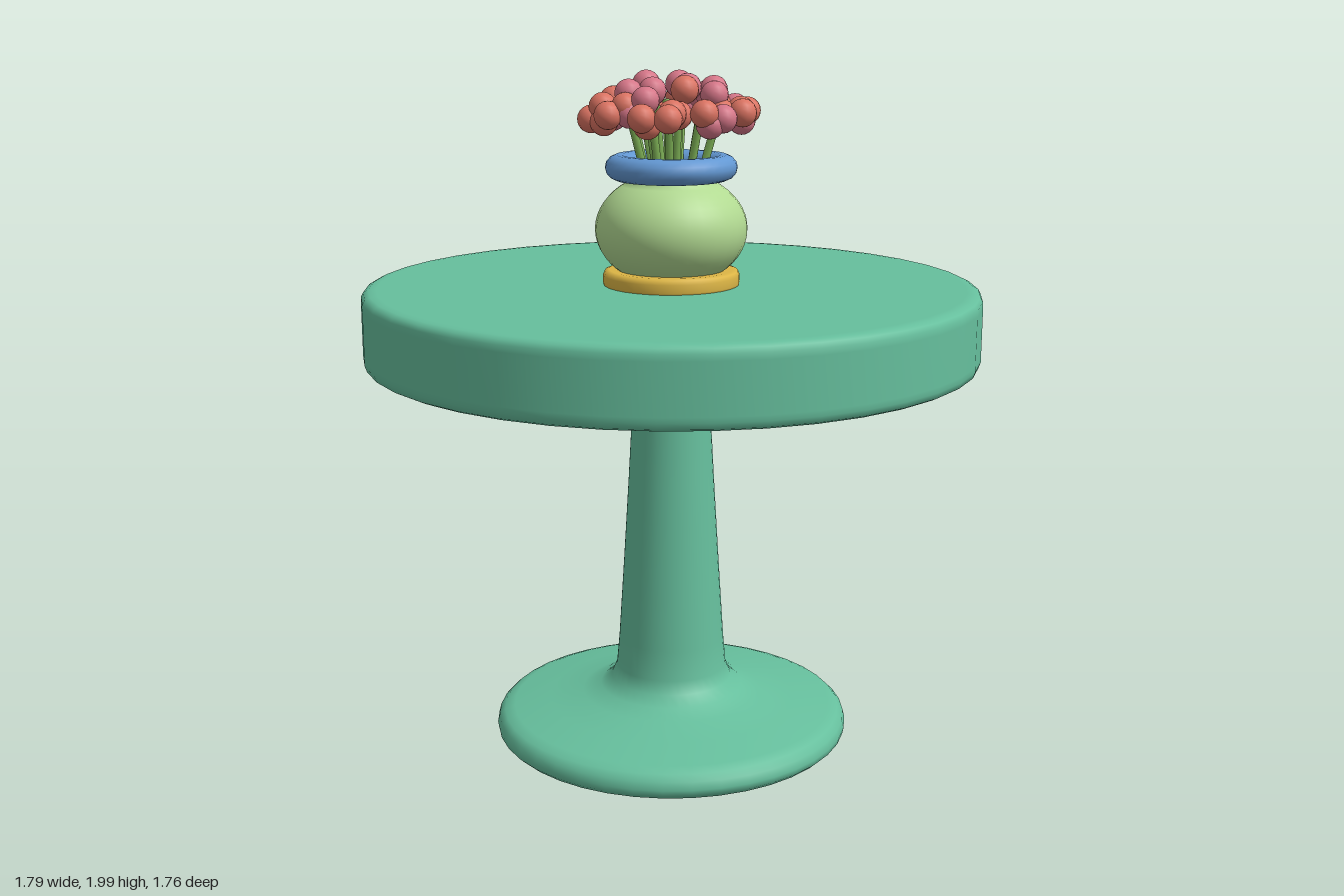
import * as THREE from 'three';

const mat = (name, color, side = THREE.FrontSide) => {
  const m = new THREE.MeshStandardMaterial({ color, side });
  m.name = name;
  return m;
};

export function createModel() {
  const model = new THREE.Group();
  model.name = 'tableWithVase';
  const green = mat('table green', 0x66bf9d);
  const lime = mat('vase lime', 0xb2da92, THREE.DoubleSide);
  const gold = mat('foot gold', 0xdcb545);
  const blue = mat('rim blue', 0x6398d3);
  const stemGreen = mat('stem green', 0x7fb257);
  const coral = mat('flower coral', 0xdb7362);
  const pink = mat('flower pink', 0xd67688);

  const add = (name, geometry, material, parent = model) => {
    const mesh = new THREE.Mesh(geometry, material);
    mesh.name = name;
    parent.add(mesh);
    return mesh;
  };
  const lathe = (pts, sides) =>
    new THREE.LatheGeometry(pts.map(([r, y]) => new THREE.Vector2(r, y)), sides);

  // Round table top with softened edges, a touch narrower in depth
  add('tableTop', lathe([[0, 1.16], [0.85, 1.16], [0.875, 1.161], [0.889, 1.168], [0.895, 1.185],
    [0.895, 1.2], [0.895, 1.34], [0.894, 1.358], [0.887, 1.371], [0.873, 1.378],
    [0.85, 1.38], [0, 1.38]], 40), green).scale.z = 0.985;

  // Tapered column flaring into the round base
  add('pedestal', lathe([[0, 0], [0.49, 0], [0.515, 0.004], [0.53, 0.018], [0.533, 0.035],
    [0.527, 0.058], [0.51, 0.075], [0.48, 0.086], [0.37, 0.105], [0.27, 0.125], [0.215, 0.145],
    [0.182, 0.172], [0.166, 0.21], [0.158, 0.3], [0.142, 0.55], [0.127, 0.8],
    [0.115, 1.02], [0.112, 1.17]], 40), green);

  // Vase: foot, open round body and flattened rim
  add('vaseFoot', lathe([[0, 1.375], [0.195, 1.375], [0.198, 1.385], [0.198, 1.408],
    [0.193, 1.42], [0.18, 1.424], [0, 1.424]], 32), gold);
  const body = [[0, 1.41]];
  for (let i = 0; i <= 16; i++) {
    const a = -0.98 + (i / 16) * 1.96;
    body.push([0.22 * Math.cos(a), 1.54 + 0.165 * Math.sin(a)]);
  }
  body.push([0.12, 1.7]);
  add('vaseBody', lathe(body, 32), lime);
  const rim = add('vaseRim', new THREE.TorusGeometry(0.15, 0.04, 14, 36), blue);
  rim.rotation.x = Math.PI / 2;
  rim.scale.z = 0.92;
  rim.position.y = 1.717;

  // Flower balls as [x, z] in hundredths, forming a dome
  const coralSpots = [[0, -21], [-14, -18], [-21, -10], [-11, -9], [-4, -17], [9, -20], [18, -14],
    [13, -18], [19, -5], [22, 2], [-16, 4], [-20, 11], [-16, 12], [-12, 18], [-8, 15], [0, 23],
    [7, 21], [7, 18], [7, 8], [15, 14]];
  const pinkSpots = [[14, 3], [6, 3], [-3, 7], [-9, 10], [-2, 15], [3, -5], [-1, -9], [7, -12],
    [15, -12], [11, -5], [3, -16], [19, 10], [-8, -1]];
  const flowers = new THREE.Group();
  flowers.name = 'flowers';
  model.add(flowers);
  const ball = new THREE.SphereGeometry(0.04, 14, 10);
  const plant = (spots, material) => spots.forEach(([px, pz], i) => {
    const x = px / 100, z = pz / 100;
    const y = 1.96 - 1.7 * (x * x + z * z) - (i % 3) * 0.008;
    add('flowerBall', ball, material, flowers).position.set(x, y, z);
  });
  plant(coralSpots, coral);
  plant(pinkSpots, pink);

  // Lower skirt of balls under the dome
  for (let i = 0; i < 14; i++) {
    const a = (i / 14) * Math.PI * 2 + 0.2, r = i % 2 ? 0.2 : 0.165;
    add('lowerFlowerBall', ball, i % 3 === 1 ? pink : coral, flowers)
      .position.set(r * Math.cos(a), i % 2 ? 1.85 : 1.875, r * Math.sin(a));
  }

  // Stems fanning out of the vase
  const stems = new THREE.Group();
  stems.name = 'stems';
  model.add(stems);
  for (let i = 0; i < 16; i++) {
    const a = i * 2.4, r = 0.16 * Math.sqrt((i + 0.5) / 16);
    const at = (k, y) => new THREE.Vector3(r * k * Math.cos(a), y, r * k * Math.sin(a));
    const curve = new THREE.QuadraticBezierCurve3(at(0.3, 1.45), at(0.55, 1.72), at(1, 1.9));
    add('stem', new THREE.TubeGeometry(curve, 6, 0.012, 7), stemGreen, stems);
  }
  return model;
}
